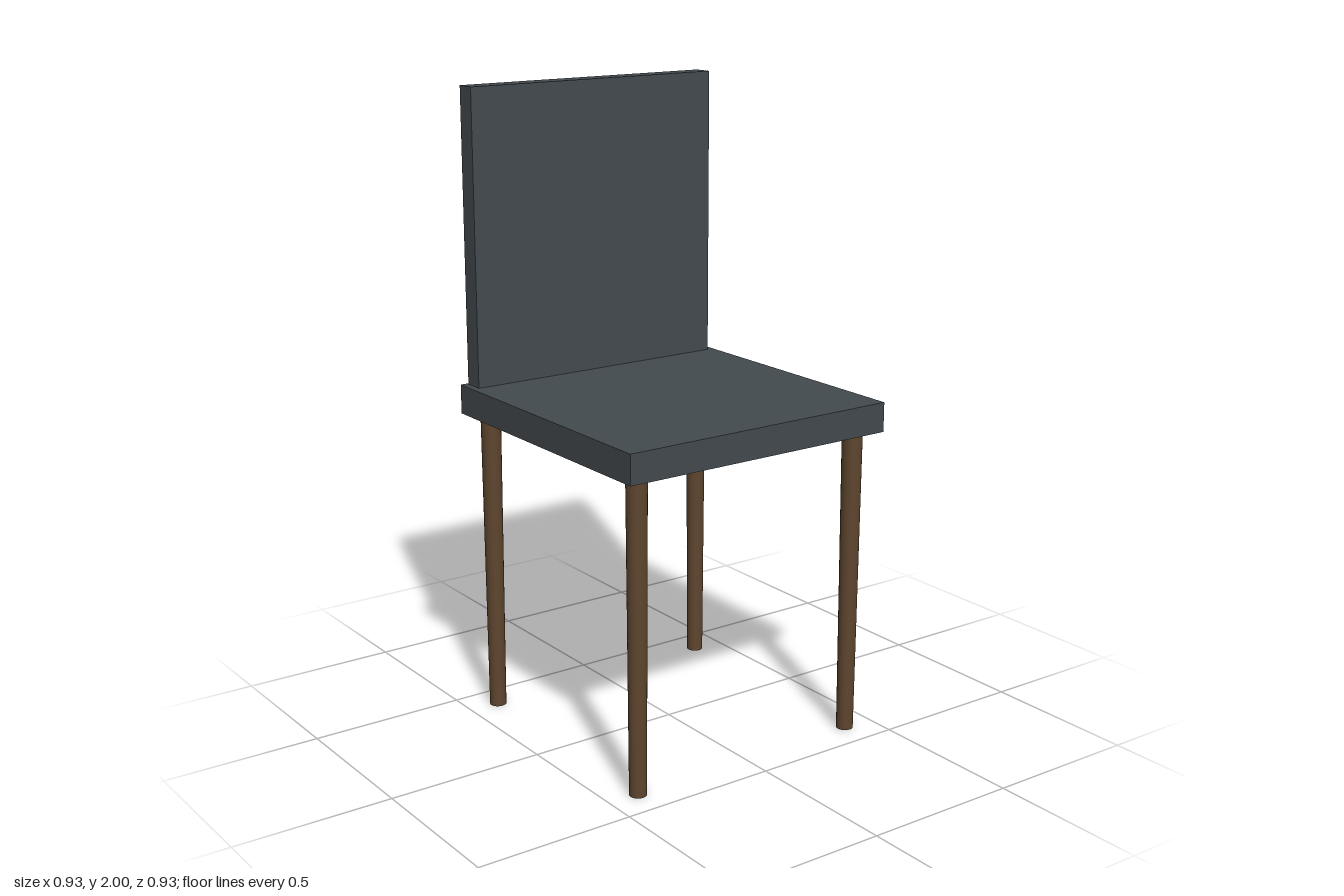
import * as THREE from 'three';

export function createModel() {
  const chair = new THREE.Group();
  chair.name = 'chair';

  const upholstery = new THREE.MeshStandardMaterial({ color: 0x434a4f });
  upholstery.name = 'charcoal upholstery';
  const wood = new THREE.MeshStandardMaterial({ color: 0x5e452e });
  wood.name = 'dark wood';

  const add = (name, geometry, material, x, y, z) => {
    const mesh = new THREE.Mesh(geometry, material);
    mesh.name = name;
    mesh.position.set(x, y, z);
    chair.add(mesh);
  };

  const seatBottom = 0.98, seatTop = 1.073, top = 2;

  // Square seat slab
  add('seat', new THREE.BoxGeometry(0.933, seatTop - seatBottom, 0.933), upholstery,
    0, (seatBottom + seatTop) / 2, 0);

  // Upright backrest, set just inside the rear edge of the seat
  add('backrest', new THREE.BoxGeometry(0.888, top - seatTop, 0.065), upholstery,
    0, (seatTop + top) / 2, -0.425);

  // Four round legs, slightly tapered towards the floor
  const legGeometry = new THREE.CylinderGeometry(0.032, 0.0265, seatBottom, 24);
  for (const [side, x] of [['Left', 0.4], ['Right', -0.4]]) {
    for (const [end, z] of [['front', 0.4], ['back', -0.4]]) {
      add(`${end}${side}Leg`, legGeometry, wood, x, seatBottom / 2, z);
    }
  }
  return chair;
}
